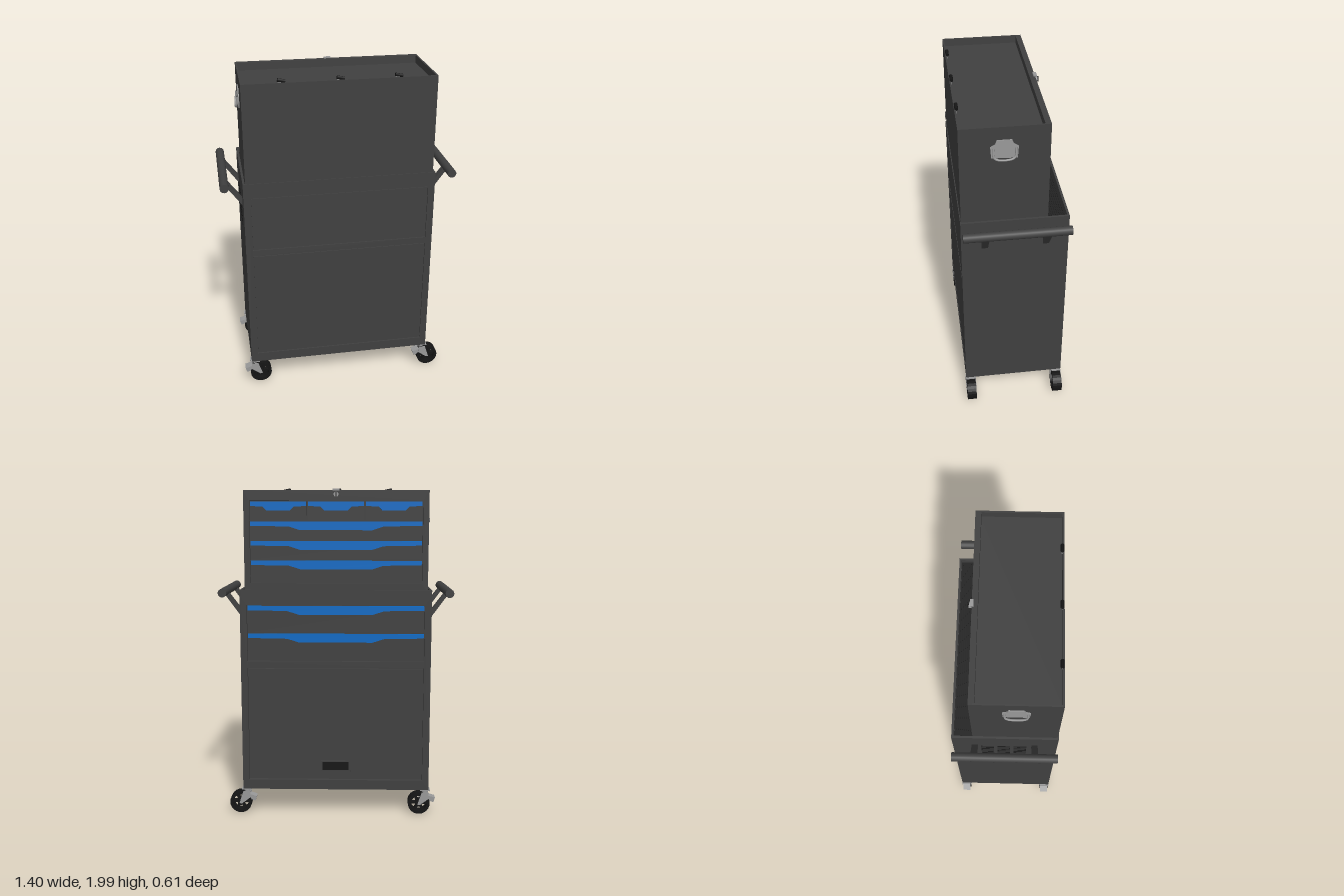
import * as THREE from 'three';

const mat = (name, color) => {
  const m = new THREE.MeshStandardMaterial({ color });
  m.name = name;
  return m;
};

export function createModel() {
  const root = new THREE.Group();
  root.name = 'toolCabinet';
  const charcoal = mat('charcoal steel', 0x404040);
  const dark = mat('dark mat', 0x222222);
  const black = mat('black plastic', 0x151515);
  const blue = mat('blue trim', 0x0a6ac4);
  const grey = mat('grey metal', 0x999999);

  const add = (name, geo, m, x = 0, y = 0, z = 0, parent = root) => {
    const mesh = new THREE.Mesh(geo, m);
    mesh.name = name;
    mesh.position.set(x, y, z);
    parent.add(mesh);
    return mesh;
  };
  // Box from its limits on each axis
  const box = (name, m, x0, x1, y0, y1, z0, z1, parent = root) =>
    add(name, new THREE.BoxGeometry(x1 - x0, y1 - y0, z1 - z0), m,
      (x0 + x1) / 2, (y0 + y1) / 2, (z0 + z1) / 2, parent);
  const poly = (pts) => new THREE.Shape(pts.map(([x, y]) => new THREE.Vector2(x, y)));
  const extrude = (shape, depth) =>
    new THREE.ExtrudeGeometry(shape, { depth, bevelEnabled: false, curveSegments: 12 });
  const rect = (w, y0, y1) => [[-w, y0], [w, y0], [w, y1], [-w, y1]];
  // Face frame with rectangular openings
  const frame = (name, w, y0, y1, z0, z1, holes) => {
    const s = poly(rect(w, y0, y1));
    holes.forEach(([hw, a, b]) => s.holes.push(poly(rect(hw, a, b).reverse())));
    add(name, extrude(s, z1 - z0), charcoal, 0, 0, z0);
  };
  // Low wall around an open tray
  const rim = (name, w, y0, y1, z0, z1, t) => {
    for (const s of [-1, 1]) box(name + 'Side', charcoal, s * w - (s > 0 ? t : 0), s * w + (s < 0 ? t : 0), y0, y1, z0, z1);
    box(name + 'Front', charcoal, -w + t, w - t, y0, y1, z1 - t, z1);
    box(name + 'Back', charcoal, -w + t, w - t, y0, y1, z0, z0 + t);
  };
  // Drawer front with a full-width pull that deepens in the middle
  const drawer = (x, w, yTop, yBottom, z) => {
    const h = w / 2;
    box('drawerFront', charcoal, x - h, x + h, yBottom, yTop, z, z + 0.02);
    const pull = poly([[-h, 0], [-h, -0.026], [-h * 0.55, -0.03], [-h * 0.42, -0.052],
      [h * 0.42, -0.052], [h * 0.55, -0.03], [h, -0.026], [h, 0]]);
    add('drawerPull', extrude(pull, 0.012), blue, x, yTop, z - 0.01);
  };

  // Lower cabinet
  box('cabinetBody', charcoal, -0.57, 0.57, 0.16, 1.355, -0.283, 0.297);
  const openings = [[0.53, 0.96, 1.3], [0.53, 0.22, 0.92]];
  frame('drawerSideFrame', 0.57, 0.16, 1.355, -0.305, -0.283, openings);
  frame('plainSideFrame', 0.57, 0.16, 1.355, 0.297, 0.305, openings);
  for (const [w, a, b] of openings)
    box('plainPanel', charcoal, -w + 0.004, w - 0.004, a + 0.004, b - 0.004, 0.297, 0.303);
  rim('trayRim', 0.57, 1.355, 1.39, -0.305, 0.305, 0.013);
  drawer(0, 1.05, 1.295, 1.135, -0.295);
  drawer(0, 1.05, 1.128, 0.965, -0.295);
  box('door', charcoal, -0.524, 0.524, 0.226, 0.914, -0.3, -0.283);
  frame('doorHandleRim', 0.09, 0.275, 0.345, -0.306, -0.299, [[0.08, 0.284, 0.336]]);
  box('doorHandleRecess', black, -0.088, 0.088, 0.277, 0.343, -0.304, -0.299);

  // Ribbed mat on the exposed ledge
  box('ledgeMat', dark, -0.556, 0.556, 1.355, 1.361, -0.291, -0.186);
  for (let i = 0; i < 9; i++) {
    const z = -0.285 + i * 0.0115;
    box('matRib', dark, -0.55, 0.55, 1.361, 1.365, z, z + 0.005);
  }

  // Side vents
  for (let r = 0; r < 7; r++)
    for (let c = 0; c < 3; c++) {
      const z = -0.14 + c * 0.095, y = 1.05 + r * 0.028;
      box('ventSlot', black, -0.573, -0.568, y, y + 0.006, z, z + 0.075);
    }

  // Upper chest with recessed lid
  box('chestBody', charcoal, -0.555, 0.555, 1.355, 1.93, -0.163, 0.3);
  frame('chestFrame', 0.555, 1.355, 1.975, -0.185, -0.163, [[0.52, 1.42, 1.912]]);
  rim('lidRim', 0.555, 1.93, 1.975, -0.163, 0.3, 0.01);
  for (const x of [-0.346, 0, 0.346]) drawer(x, 0.335, 1.907, 1.798, -0.178);
  [1.79, 1.673, 1.556].forEach((y, i) => drawer(0, 1.03, y, [1.681, 1.564, 1.425][i], -0.178));

  // Lid lock and hinges
  const lock = add('lidLock', new THREE.CylinderGeometry(0.015, 0.015, 0.018, 12), grey, 0, 1.95, -0.192);
  lock.rotation.x = Math.PI / 2;
  box('lockKey', black, -0.004, 0.004, 1.935, 1.965, -0.207, -0.2);
  box('lockCatch', grey, -0.02, 0.02, 1.972, 1.982, -0.195, -0.175);
  for (const x of [-0.33, 0, 0.33]) {
    box('hingeLeaf', grey, x - 0.02, x + 0.02, 1.955, 1.985, 0.286, 0.291);
    const pin = add('hingePin', new THREE.CylinderGeometry(0.01, 0.01, 0.045, 8), black, x, 1.985, 0.288);
    pin.rotation.z = Math.PI / 2 - 0.2;
  }

  for (const s of [-1, 1]) {
    // Carry handle on the chest side
    const carry = new THREE.Group();
    carry.name = 'carryHandle';
    carry.position.set(s * 0.555, 1.84, 0.06);
    carry.rotation.y = s * Math.PI / 2;
    root.add(carry);
    add('carryPlate', extrude(poly([[-0.07, -0.045], [0.07, -0.05], [0.075, 0.02], [0.05, 0.035],
      [0.04, 0.06], [-0.04, 0.06], [-0.05, 0.035], [-0.075, 0.02]]), 0.006), grey, 0, 0, 0, carry);
    const bail = new THREE.CatmullRomCurve3([[-0.06, 0.015, 0.008], [-0.058, -0.035, 0.015],
      [-0.04, -0.05, 0.018], [0.04, -0.05, 0.018], [0.058, -0.035, 0.015], [0.06, 0.015, 0.008]]
      .map((p) => new THREE.Vector3(...p)));
    add('carryBail', new THREE.TubeGeometry(bail, 20, 0.006, 6), grey, 0, 0, 0, carry);

    // Push rail on two tapered brackets
    const rail = add('pushRail', new THREE.CylinderGeometry(0.026, 0.026, 0.6, 16), charcoal, s * 0.675, 1.37, 0);
    rail.rotation.x = Math.PI / 2;
    for (const z of [-0.176, 0.172]) {
      let pts = [[0.568, 1.205], [0.575, 1.215], [0.675, 1.352], [0.66, 1.372], [0.568, 1.25]];
      if (s < 0) pts = pts.map(([x, y]) => [-x, y]).reverse();
      add('railBracket', extrude(poly(pts), 0.036), charcoal, 0, 0, z - 0.018);
    }
  }

  // Casters, all trailing the same way
  const tyre = new THREE.Shape().absarc(0, 0, 0.067, 0, Math.PI * 2);
  tyre.holes.push(new THREE.Path().absarc(0, 0, 0.048, 0, Math.PI * 2, true));
  const tyreGeo = extrude(tyre, 0.056);
  for (const x of [-0.55, 0.55])
    for (const z of [-0.275, 0.275]) {
      const caster = new THREE.Group();
      caster.name = 'caster';
      caster.position.set(x, 0, z);
      root.add(caster);
      add('tyre', tyreGeo, black, 0.037, 0.073, -0.028, caster);
      const hub = add('hub', new THREE.CylinderGeometry(0.02, 0.02, 0.062, 10), black, 0.037, 0.073, 0, caster);
      hub.rotation.x = Math.PI / 2;
      for (let i = 0; i < 3; i++) {
        const spoke = add('spokes', new THREE.BoxGeometry(0.1, 0.014, 0.03), black, 0.037, 0.073, 0, caster);
        spoke.rotation.z = i * Math.PI / 3;
      }
      box('mountPlate', grey, -0.03, 0.03, 0.152, 0.16, -0.028, 0.028, caster);
      add('swivel', new THREE.CylinderGeometry(0.018, 0.018, 0.014, 10), grey, 0, 0.147, 0, caster);
      for (const f of [-0.032, 0.029])
        add('forkCheek', extrude(poly([[0.03, 0.064], [0.046, 0.066], [0.02, 0.145], [-0.022, 0.145],
          [-0.024, 0.105]]), 0.003), grey, 0, 0, f, caster);
      const pedal = add('brakePedal', new THREE.BoxGeometry(0.045, 0.03, 0.05), grey, -0.036, 0.102, 0, caster);
      pedal.rotation.z = 0.3;
    }
  return root;
}
